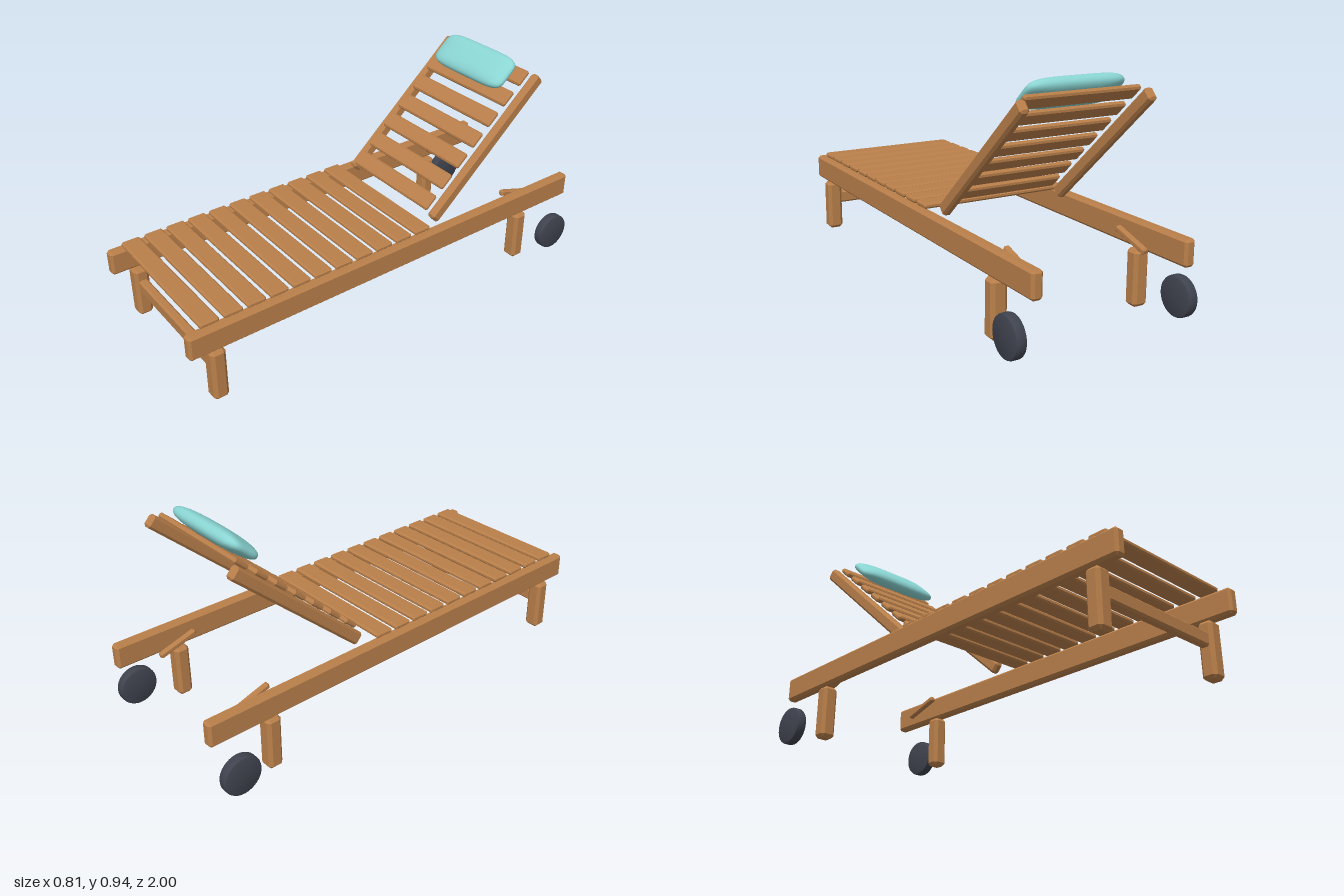
import * as THREE from 'three';
import { mergeVertices, toCreasedNormals } from 'three/addons/utils/BufferGeometryUtils.js';
import { ConvexGeometry } from 'three/addons/geometries/ConvexGeometry.js';

const material = (name, color) => {
  const m = new THREE.MeshStandardMaterial({ color });
  m.name = name;
  return m;
};

// Box with every edge chamfered by b
function chamferBox(w, h, d, b) {
  const half = [w / 2, h / 2, d / 2];
  const points = [];
  for (const sx of [-1, 1]) for (const sy of [-1, 1]) for (const sz of [-1, 1]) {
    for (let full = 0; full < 3; full++) {
      const p = half.map((v, i) => (i === full ? v : v - b));
      points.push(new THREE.Vector3(sx * p[0], sy * p[1], sz * p[2]));
    }
  }
  return new ConvexGeometry(points);
}

// Puffed cushion: a cube projected onto a superellipsoid
function cushionGeometry(a, b, c) {
  let g = new THREE.BoxGeometry(2, 2, 2, 24, 16, 12);
  g.deleteAttribute('normal');
  g.deleteAttribute('uv');
  g = mergeVertices(g);
  const pos = g.attributes.position;
  const p = 5, q = 2.5;
  for (let i = 0; i < pos.count; i++) {
    const x = pos.getX(i), y = pos.getY(i), z = pos.getZ(i);
    const outline = Math.pow(Math.abs(x) ** p + Math.abs(y) ** p, q / p);
    const r = Math.pow(outline + Math.abs(z) ** q, -1 / q);
    pos.setXYZ(i, x * r * a, y * r * b, z * r * c);
  }
  g.computeVertexNormals();
  return g;
}

export function createModel() {
  const wood = material('wood', 0xb97f4a);
  const rubber = material('darkRubber', 0x3f434e);
  const fabric = material('aquaFabric', 0x8ad5d3);
  const model = new THREE.Group();
  model.name = 'sunLounger';

  const add = (parent, name, geometry, mat, x, y, z) => {
    const mesh = new THREE.Mesh(geometry, mat);
    mesh.name = name;
    mesh.position.set(x, y, z);
    parent.add(mesh);
    return mesh;
  };

  // Reclined backrest frame: local y runs up the slope, local z faces the sitter
  const backrest = new THREE.Group();
  backrest.name = 'backrest';
  backrest.position.set(0, 0.6125, -0.52);
  backrest.rotation.x = 0.724 - Math.PI / 2;
  model.add(backrest);

  const railGeo = chamferBox(0.048, 0.11, 2, 0.011);
  const legGeo = chamferBox(0.07, 0.237, 0.066, 0.014);
  const backRailGeo = chamferBox(0.04, 0.775, 0.056, 0.01);
  const strutGeo = chamferBox(0.026, 0.026, 0.18, 0.006);
  const wheelProfile = [[0, -0.023], [0.074, -0.023], [0.081, -0.02], [0.084, -0.013],
    [0.084, 0.013], [0.081, 0.02], [0.074, 0.023], [0, 0.023]];
  const wheelGeo = toCreasedNormals(
    new THREE.LatheGeometry(wheelProfile.map(([r, y]) => new THREE.Vector2(r, y)), 32), 0.6);
  wheelGeo.rotateZ(Math.PI / 2);

  // Mirrored side parts
  for (const [side, s] of [['left', 1], ['right', -1]]) {
    add(model, side + 'SideRail', railGeo, wood, s * 0.334, 0.295, 0);
    add(model, side + 'FrontLeg', legGeo, wood, s * 0.325, 0.1185, 0.882);
    add(model, side + 'BackLeg', legGeo, wood, s * 0.325, 0.1185, -0.712);
    add(model, side + 'Wheel', wheelGeo, rubber, s * 0.381, 0.088, -0.896);
    add(model, side + 'SupportStrut', strutGeo, wood, s * 0.257, 0.293, -0.752).rotation.x = -0.3;
    add(backrest, side + 'BackRail', backRailGeo, wood, s * 0.278, 0, 0);
  }

  // Crossbar between the front legs
  add(model, 'frontCrossbar', chamferBox(0.59, 0.06, 0.04, 0.008), wood, 0, 0.155, 0.882);

  // Seat slats
  const seatSlatGeo = chamferBox(0.672, 0.023, 0.083, 0.007);
  for (let i = 0; i < 11; i++) {
    add(model, 'seatSlat', seatSlatGeo, wood, 0, 0.363, 0.897 - i * 0.1026);
  }

  // Backrest slats
  const backSlatGeo = chamferBox(0.512, 0.076, 0.023, 0.007);
  for (let i = 0; i < 7; i++) {
    add(backrest, 'backSlat', backSlatGeo, wood, 0, 0.002 + (i - 3) * 0.1128, 0.0395);
  }

  // Head cushion
  add(backrest, 'headCushion', cushionGeometry(0.215, 0.083, 0.036), fabric, 0, 0.306, 0.087);

  return model;
}
